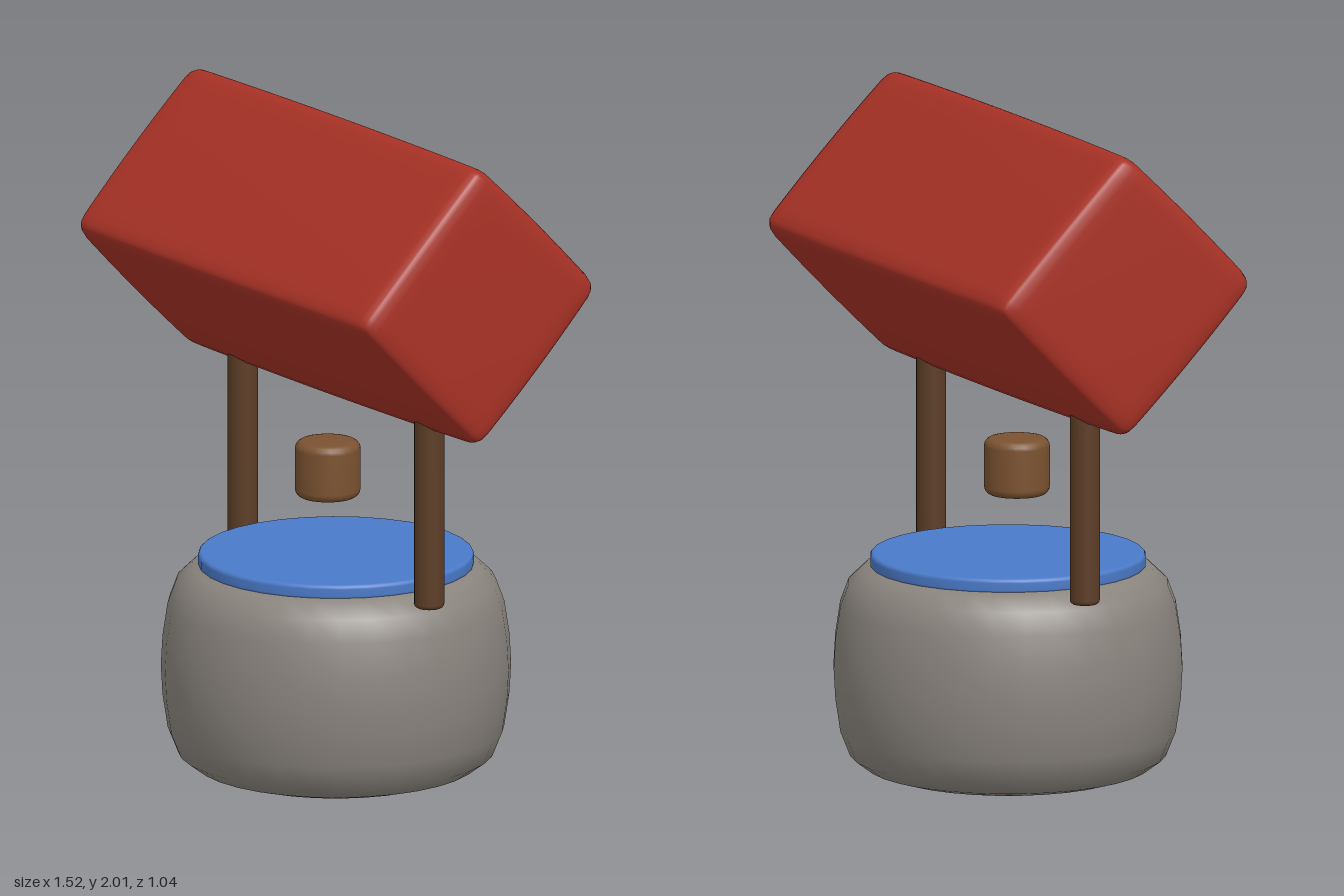
import * as THREE from 'three';
import { mergeVertices } from 'three/addons/utils/BufferGeometryUtils.js';

const material = (name, color, side = THREE.FrontSide) => {
  const m = new THREE.MeshStandardMaterial({ color, side });
  m.name = name;
  return m;
};

// Box with rounded edges and gently swollen faces
function pillowBox(hx, hy, hz, r, bulge) {
  let g = new THREE.BoxGeometry(2, 2, 2, 20, 16, 16);
  g.deleteAttribute('uv');
  g.deleteAttribute('normal');
  g = mergeVertices(g, 1e-4);
  const pos = g.attributes.position;
  const h = new THREE.Vector3(hx, hy, hz);
  const core = h.clone().subScalar(r);
  const u = new THREE.Vector3(), p = new THREE.Vector3(), inner = new THREE.Vector3();
  for (let i = 0; i < pos.count; i++) {
    u.fromBufferAttribute(pos, i);
    // crowd the grid towards the edges
    u.set(...u.toArray().map((t) => Math.sin(t * Math.PI / 2)));
    p.copy(u).multiply(h);
    inner.copy(p).clamp(core.clone().negate(), core);
    p.sub(inner).setLength(r).add(inner);
    const [a, b, c] = [u.x, u.y, u.z].map((t) => 1 - t * t);
    p.x += Math.sign(u.x) * bulge * (b + c) / 2 * u.x ** 2;
    p.y += Math.sign(u.y) * bulge * (a + c) / 2 * u.y ** 2;
    p.z += Math.sign(u.z) * bulge * (a + b) / 2 * u.z ** 2;
    pos.setXYZ(i, p.x, p.y, p.z);
  }
  g.computeVertexNormals();
  return g;
}

// Upright cylinder with rounded rims
function softCylinder(radius, y0, y1, r, sides) {
  const pts = [new THREE.Vector2(0, y0)];
  const arc = (cy, from) => {
    for (let i = 0; i <= 4; i++) {
      const a = from + (i / 4) * Math.PI / 2;
      pts.push(new THREE.Vector2(radius - r + r * Math.cos(a), cy + r * Math.sin(a)));
    }
  };
  arc(y0 + r, -Math.PI / 2);
  arc(y1 - r, 0);
  pts.push(new THREE.Vector2(0, y1));
  return new THREE.LatheGeometry(pts, sides);
}

export function createModel() {
  const group = new THREE.Group();
  const stone = material('stone grey', 0x8a847e);
  const water = material('water blue', 0x4a7ac8);
  const darkWood = material('dark wood', 0x5c3d26);
  const wood = material('bucket wood', 0x7a5230);
  const red = material('roof red', 0xa93226);

  const add = (name, geometry, mat, x = 0, y = 0, z = 0) => {
    const mesh = new THREE.Mesh(geometry, mat);
    mesh.name = name;
    mesh.position.set(x, y, z);
    group.add(mesh);
    return mesh;
  };

  // Swollen round wall
  const profile = [
    [0, 0], [0.36, 0.01], [0.42, 0.028], [0.47, 0.065], [0.5, 0.14], [0.515, 0.24], [0.52, 0.33],
    [0.515, 0.42], [0.5, 0.52], [0.475, 0.587], [0.43, 0.63], [0.37, 0.648], [0, 0.655],
  ].map(([x, y]) => new THREE.Vector2(x, y));
  add('wellWall', new THREE.LatheGeometry(profile, 32), stone);

  // Water disc on the rim
  add('water', softCylinder(0.41, 0.63, 0.676, 0.012, 32), water);

  // Posts on both sides
  for (const s of [-1, 1]) {
    add(s > 0 ? 'leftPost' : 'rightPost', softCylinder(0.045, 0.605, 1.22, 0.014, 20), darkWood, s * 0.48);
  }

  // Bucket hanging slightly forward
  add('bucket', softCylinder(0.098, 0.848, 1.02, 0.025, 24), wood, 0, 0, 0.03);

  // Roof block turned on its edge
  const roof = add('roof', pillowBox(0.75, 0.309, 0.309, 0.045, 0.01), red, 0, 1.58, 0);
  roof.rotation.x = Math.PI / 4;

  return group;
}
